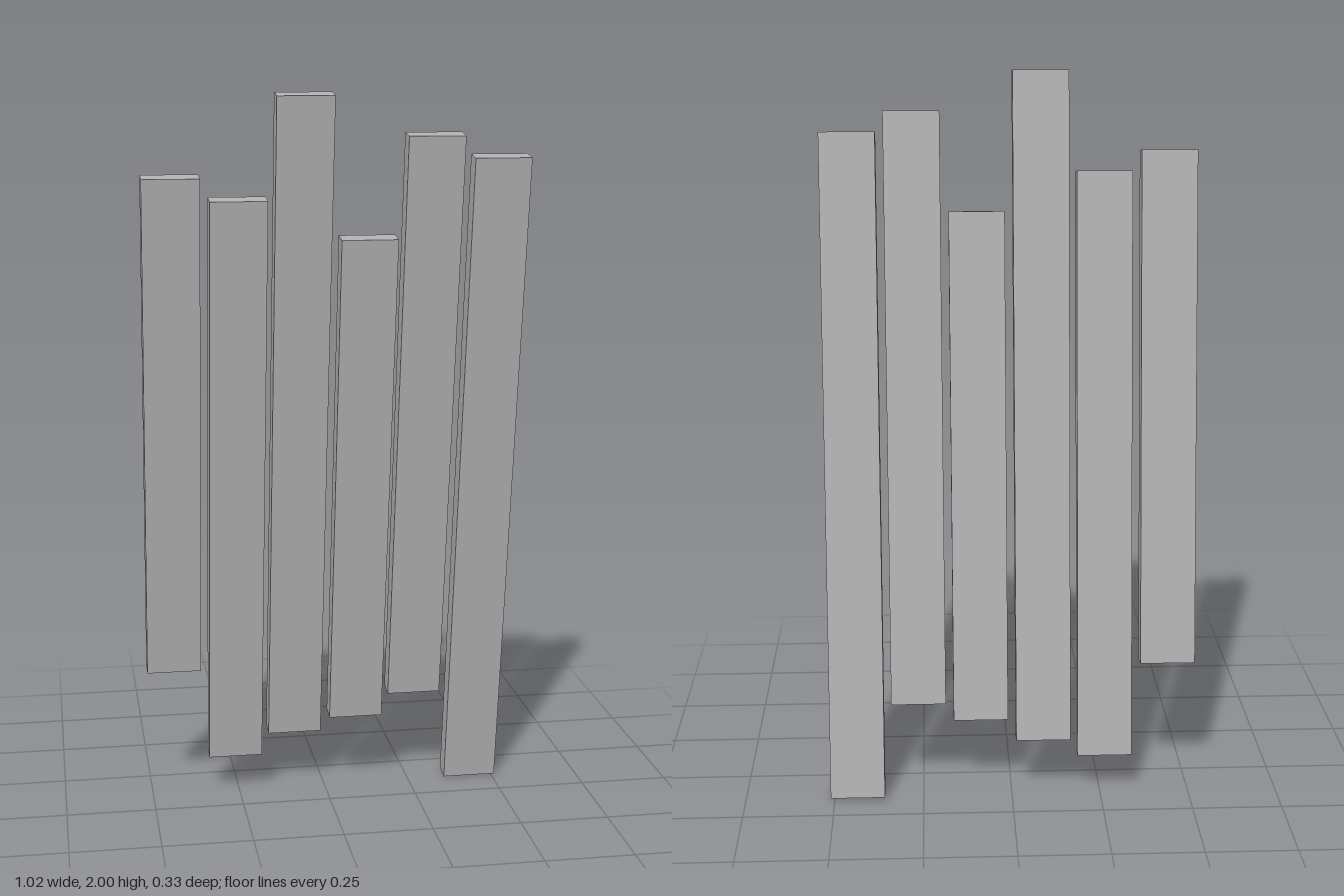
import * as THREE from 'three';

export function createModel() {
  const model = new THREE.Group();
  model.name = 'leaningSlats';
  const grey = new THREE.MeshStandardMaterial({ color: 0xb0b0b0 });
  grey.name = 'plain grey';

  const tilt = 0.149; // forward lean in radians
  const width = 0.152, thickness = 0.055, spacing = 0.174;

  // lowest and highest point of each slat, from right (-x) to left (+x)
  const spans = [
    [0.38, 1.79], [0.11, 1.732], [0.167, 2],
    [0.217, 1.626], [0.275, 1.895], [0, 1.838],
  ];

  // parallel slats, each leaning about its own centre
  spans.forEach(([low, high], i) => {
    const length = (high - low - thickness * Math.sin(tilt)) / Math.cos(tilt);
    const slat = new THREE.Mesh(new THREE.BoxGeometry(width, length, thickness), grey);
    slat.name = `slat${i + 1}`;
    slat.position.set((i - 2.5) * spacing, (low + high) / 2, 0);
    slat.rotation.x = tilt;
    model.add(slat);
  });
  return model;
}
